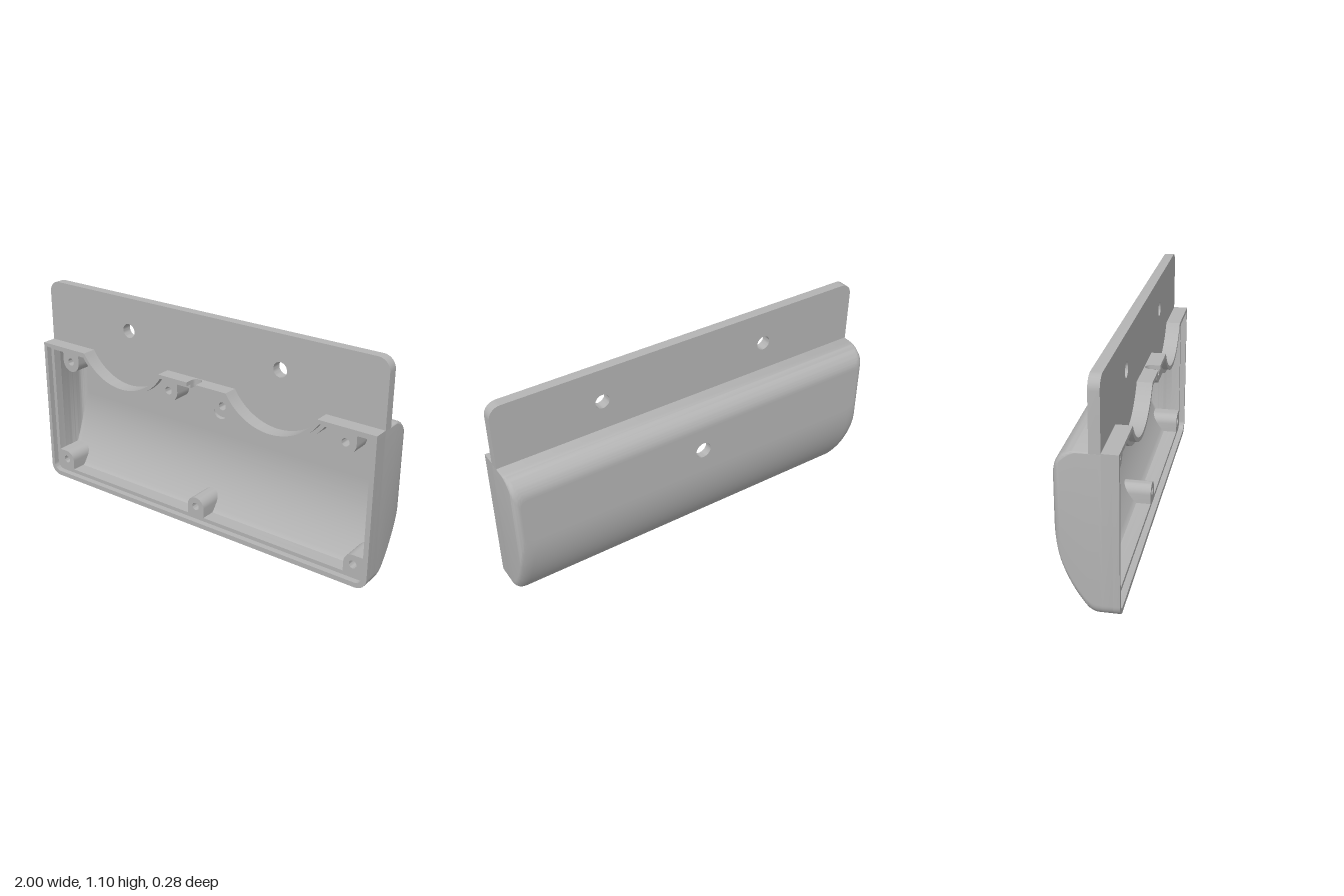
import * as THREE from 'three';
import { toCreasedNormals } from 'three/addons/utils/BufferGeometryUtils.js';

const TOP = 0.775, FRONT = 0.14, STEP = 0.11, PLATE_F = 0.065, PLATE_B = 0.015;
const SCOOP_X = 0.455, SCOOP_Y = 0.928, SCOOP_R = 0.293;
const HOLE_Y = 0.55, HOLE_R = 0.042, BACK_R = 0.641;

const grey = new THREE.MeshStandardMaterial({ color: 0xb4b4b4, side: THREE.DoubleSide });
grey.name = 'plain grey';

const V = (x, y) => new THREE.Vector2(x, y);
const arc = (cx, cy, r, a0, a1, n = 8) => Array.from({ length: n + 1 }, (_, i) => {
  const a = a0 + (a1 - a0) * i / n;
  return V(cx + r * Math.cos(a), cy + r * Math.sin(a));
});
const circle = (x, y, r) => new THREE.Path().absarc(x, y, r, 0, Math.PI * 2, true);

function part(name, geometry, crease = 0.6) {
  const mesh = new THREE.Mesh(toCreasedNormals(geometry, crease), grey);
  mesh.name = name;
  return mesh;
}

function slab(shape, z0, z1) {
  const g = new THREE.ExtrudeGeometry(shape, { depth: z1 - z0, bevelEnabled: false, curveSegments: 16 });
  return g.translate(0, 0, z0);
}

// Front outline inset by d, from the top middle round to the top middle, open by a gap
function outline(d, gap) {
  const r = SCOOP_R + d, y = TOP - d, bottom = d ? d + 0.005 : 0;
  const a = Math.asin((SCOOP_Y - y) / r), c = Math.max(0.06 - d, 0.015);
  const right = [V(gap, y),
    ...arc(SCOOP_X, SCOOP_Y, r, Math.PI + a, 2 * Math.PI - a, 28),
    V(1 - d, y),
    ...arc(1 - d - c, bottom + c, c, 0, -Math.PI / 2)];
  return [...right, ...right.map(p => V(-p.x, p.y)).reverse()];
}

const rim = (d, z0, z1) =>
  slab(new THREE.Shape([...outline(0, 0.06), ...outline(d, 0.06).reverse()]), z0, z1);

// Outer (d = 0) or inner (d = wall) skin: a rounded rectangle for each depth
function section(z, d) {
  const back = -FRONT + d, R = BACK_R - d, rTop = 0.1 - d, zc = BACK_R - FRONT;
  let b = 0.42 - Math.sqrt(Math.max(0, R * R - (z - zc) ** 2));
  if (d) b = Math.max(b, 0.045);
  else if (z > 0) b = z < 0.045 ? 0.02 * ((0.045 - z) / 0.045) ** 2 : 0;
  const t = z > -0.04 ? TOP - d : 0.675 + Math.sqrt(Math.max(0, rTop ** 2 - (z + 0.04) ** 2));
  const f = 0.03, q = Math.max(0, f - (z - back));
  const w = 1 - d - f + Math.sqrt(f * f - q * q);
  const rb = d ? 0.02 : 0.06;
  const rt = d ? 0.01 : Math.min(0.036, 0.006 + 0.3 * Math.max(0, -0.04 - z));
  const h = Math.PI / 2;
  return [...arc(w - rb, b + rb, rb, -h, 0), ...arc(w - rt, t - rt, rt, 0, h),
    ...arc(rt - w, t - rt, rt, h, 2 * h), ...arc(rb - w, b + rb, rb, 2 * h, 3 * h)];
}

function skin(d) {
  const N = 32, back = -FRONT + d, pos = [], idx = [];
  let m = 0;
  for (let i = 0; i <= N; i++) {
    const z = back + (PLATE_F - back) * (i / N) ** 2;
    const ring = section(z, d);
    m = ring.length;
    ring.forEach(p => pos.push(p.x, p.y, z));
  }
  for (let i = 0; i < N; i++) for (let j = 0; j < m; j++) {
    const a = i * m + j, b = i * m + (j + 1) % m;
    if (d) idx.push(a, b + m, b, a, a + m, b + m);
    else idx.push(a, b, b + m, a, b + m, a + m);
  }
  const g = new THREE.BufferGeometry();
  g.setAttribute('position', new THREE.Float32BufferAttribute(pos, 3));
  g.setIndex(idx);
  return g;
}

// Flat back panel with the centre hole
function panel(d) {
  const z = -FRONT + d, s = new THREE.Shape(section(z, d));
  s.holes.push(circle(0, HOLE_Y, HOLE_R));
  const g = new THREE.ShapeGeometry(s, 16);
  if (!d) g.rotateY(Math.PI);
  return g.translate(0, 0, z);
}

// Strip of top wall with a rounded cable slot, closing the rim's gap
function slotBlock(y0, y1, front) {
  const r = 0.028;
  const s = new THREE.Shape([V(-0.06, -front), V(-r, -front),
    ...arc(0, -0.098, r, Math.PI, 0, 12), V(r, -front),
    V(0.06, -front), V(0.06, -PLATE_F), V(-0.06, -PLATE_F)]);
  return slab(s, y0, y1).rotateX(-Math.PI / 2);
}

// Screw boss with its rounded end away from the wall; tail squares off its outer side
function boss(x, y, r, wallY, tail) {
  const up = wallY < y ? 1 : -1;
  const end = arc(x, y, r, Math.PI, up > 0 ? Math.PI / 2 : 1.5 * Math.PI);
  const rest = tail || arc(x, y, r, up * Math.PI / 2, 0).concat(V(x + r, wallY));
  const s = new THREE.Shape([V(x - r, wallY), ...end, ...rest]);
  s.holes.push(circle(x, y, 0.02));
  const g = slab(s, PLATE_B, STEP), p = g.attributes.position;
  // Let the low bosses run back into the curved wall
  if (up > 0) for (let i = 0; i < p.count; i++) {
    if (p.getZ(i) < 0.05) p.setZ(i, 0.501 - Math.sqrt(0.621 ** 2 - (p.getY(i) - 0.42) ** 2));
  }
  return g;
}

export function createModel() {
  const model = new THREE.Group();
  model.name = 'wallHousing';

  // Hollow shell
  model.add(part('outerShell', skin(0)), part('innerShell', skin(0.04)));
  model.add(part('backPanel', panel(0)), part('innerBackPanel', panel(0.04)));
  const bore = new THREE.CylinderGeometry(HOLE_R, HOLE_R, 0.04, 32, 1, true);
  bore.rotateX(Math.PI / 2).translate(0, HOLE_Y, -0.12);
  model.add(part('backHole', bore));

  // Stepped front rim and cable slot
  model.add(part('rimBase', rim(0.04, PLATE_F, STEP)), part('rimLip', rim(0.02, STEP, FRONT)));
  model.add(part('cableSlotLip', slotBlock(0.755, TOP, FRONT)));
  model.add(part('cableSlotBase', slotBlock(0.735, 0.755, STEP)));

  // Mounting plate, with lobes closing the space behind the scoops
  const R = SCOOP_R + 0.04, low = TOP - 0.04, a = Math.asin((SCOOP_Y - low) / R);
  const lobe = x => arc(x, SCOOP_Y, R, Math.PI + a, 2 * Math.PI - a, 28);
  const plate = new THREE.Shape([V(-0.98, low), ...lobe(-SCOOP_X), ...lobe(SCOOP_X),
    V(0.98, low), V(0.98, 0.77), V(1, 0.77),
    ...arc(0.94, 1.04, 0.06, 0, Math.PI / 2), ...arc(-0.94, 1.04, 0.06, Math.PI / 2, Math.PI),
    V(-1, 0.77), V(-0.98, 0.77)]);
  for (const s of [-1, 1]) plate.holes.push(circle(s * SCOOP_X, SCOOP_Y, 0.037));
  model.add(part('mountingPlate', slab(plate, PLATE_B, PLATE_F)));

  // Screw bosses, mirrored left and right
  model.add(part('lowerMiddleBoss', boss(0, 0.095, 0.05, 0.035)));
  const sideBosses = {
    LowerBoss: boss(0.91, 0.095, 0.05, 0.035, [V(0.97, 0.145), V(0.97, 0.035)]),
    UpperOuterBoss: boss(0.835, 0.69, 0.055, 0.75),
    UpperInnerBoss: boss(0.165, 0.69, 0.055, 0.75, [V(0.3, 0.635), V(0.22, 0.75)]),
  };
  for (const [name, g] of Object.entries(sideBosses)) {
    model.add(part('left' + name, g));
    const right = part('right' + name, g);
    right.scale.x = -1;
    model.add(right);
  }
  return model;
}
